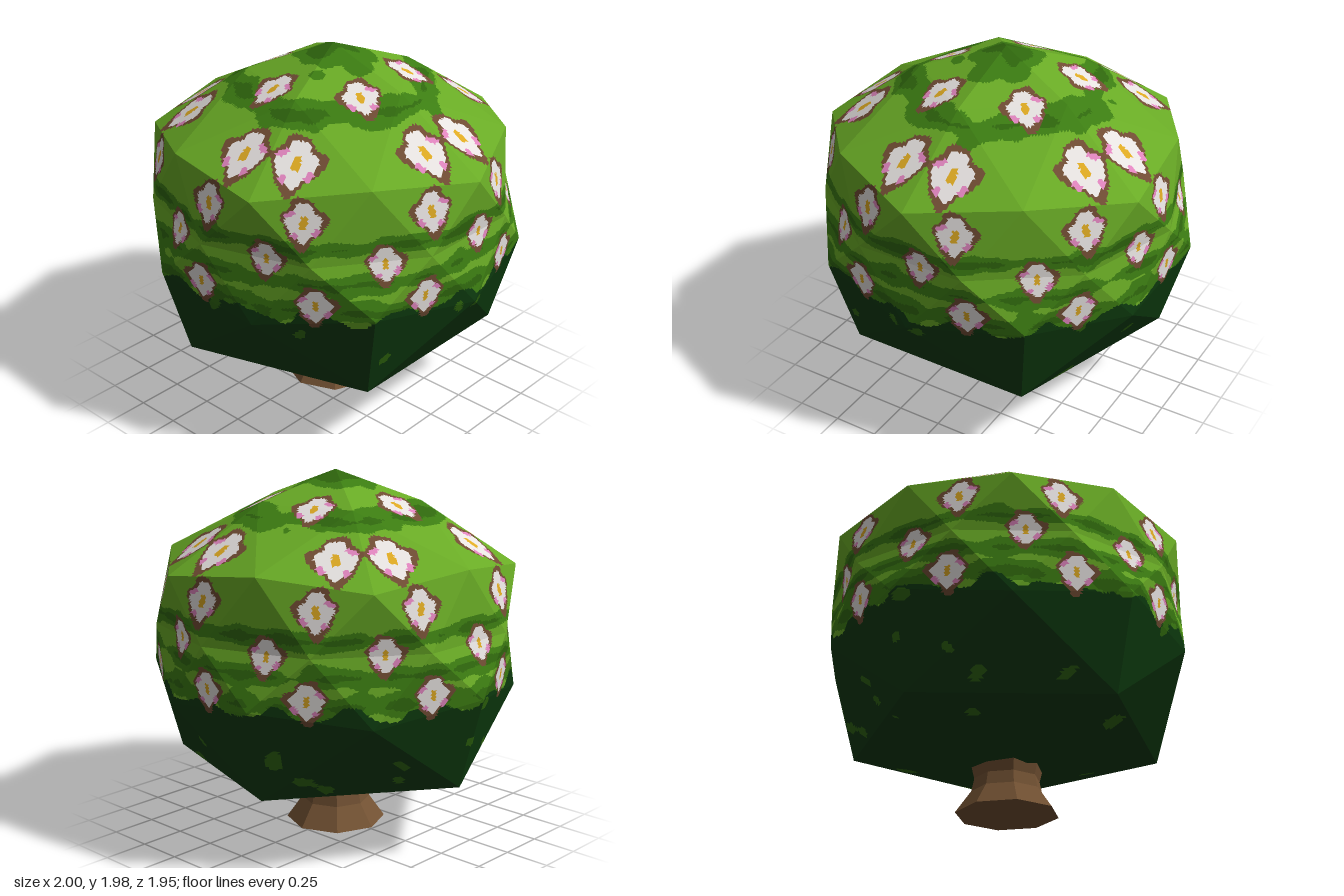
import * as THREE from 'three';

const CX = 0.02; // trunk and crown axis
const DETAIL = 36; // painted cells along each facet edge

const mat = (name, color) => {
  const m = new THREE.MeshStandardMaterial({ color, flatShading: true });
  m.name = name;
  return m;
};

const polar = (deg, r, y) => {
  const a = THREE.MathUtils.degToRad(deg);
  return new THREE.Vector3(CX + r * Math.cos(a), y, r * Math.sin(a));
};
const ring = (n, start, fn) =>
  Array.from({ length: n }, (_, k) => polar(start + (k * 360) / n, ...fn(k)));

// Large facets of the crown, from rings of 5 and 10 corners
function crownFacets() {
  const tip = new THREE.Vector3(CX, 1.98, 0);
  const base = new THREE.Vector3(CX, 0.21, 0);
  const A = ring(5, 0, () => [0.46, 1.82]);
  const B = ring(10, 0, k => (k % 2 ? [0.91, 1.55] : [0.97, 1.49]));
  const C = ring(10, 18, () => [0.975, 1.18]);
  const D = ring(10, 0, k => (k % 2 ? [1.02, 0.9] : [0.98, 0.82]));
  const E = ring(5, 36, () => [0.88, 0.4]);
  const f = [];
  for (let k = 0; k < 5; k++) {
    const n = (k + 1) % 5, e = 2 * k, o = e + 1, e2 = (e + 2) % 10;
    f.push([tip, A[k], A[n]], [A[k], B[e], B[o]], [A[k], B[e], B[(e + 9) % 10]], [A[k], A[n], B[o]]);
    f.push([E[k], D[e], D[o]], [E[k], D[o], D[e2]], [E[k], E[n], D[e2]], [base, E[k], E[n]]);
  }
  for (let k = 0; k < 10; k++) {
    const n = (k + 1) % 10;
    for (const R of [B, D]) f.push([R[k], R[n], C[k]], [C[k], C[n], R[n]]);
  }
  // Turn every facet outwards
  const mid = new THREE.Vector3(CX, 1.05, 0);
  for (const t of f) {
    const nrm = t[1].clone().sub(t[0]).cross(t[2].clone().sub(t[0]));
    if (nrm.dot(t[0].clone().sub(mid)) < 0) t.reverse();
  }
  return f;
}

// Small cells cut from one facet, for painting
function cutFacet([a, b, c], cells) {
  const at = (i, j) => a.clone().addScaledVector(b.clone().sub(a), i / DETAIL)
    .addScaledVector(c.clone().sub(a), j / DETAIL);
  const add = (p, q, r) =>
    cells.push({ p, q, r, mid: p.clone().add(q).add(r).divideScalar(3) });
  for (let i = 0; i < DETAIL; i++) {
    for (let j = 0; j < DETAIL - i; j++) {
      add(at(i, j), at(i + 1, j), at(i, j + 1));
      if (i + j < DETAIL - 1) add(at(i + 1, j), at(i + 1, j + 1), at(i, j + 1));
    }
  }
}

// Flower rows: height, radius from axis, angles, half width, half height
function makeFlowers(cells) {
  const rows = [
    [1.82, 0.39, [28], 72, 0.085, 0.105],
    [1.63, 0.753, [-11, 11], 72, 0.1, 0.13],
    [1.4, 0.94, [-16, 17], 72, 0.082, 0.095],
    [1.18, 0.96, [-4], 36, 0.076, 0.08],
    [0.96, 0.97, [-19, 19], 72, 0.08, 0.085],
  ];
  const flowers = [];
  for (const [y, r, offsets, step, w, h] of rows) {
    for (let a = 0; a < 360; a += step) {
      for (const o of offsets) {
        const target = polar(a + o, r, y);
        let best = cells[0].mid, d = Infinity;
        for (const { mid } of cells) {
          const e = mid.distanceToSquared(target);
          if (e < d) { d = e; best = mid; }
        }
        const t = THREE.MathUtils.degToRad(a + o);
        flowers.push({ c: best, t: new THREE.Vector3(-Math.sin(t), 0, Math.cos(t)), w, h, lean: o > 0 ? 1 : -1 });
      }
    }
  }
  return flowers;
}

const wave = (p, s) =>
  (Math.sin(p.x * s + 2 * Math.sin(p.z * s * 0.7 + 1)) +
   Math.sin(p.z * s * 1.1 + 2 * Math.sin(p.y * s * 0.8)) +
   Math.sin(p.y * s * 1.2 + 2 * Math.sin(p.x * s * 0.9 + 2))) / 3;

// Paint slots
const [LIGHT, MID, DEEP, SHADE, WHITE, PINK, YELLOW, HUSK] = [0, 1, 2, 3, 4, 5, 6, 7];

function paintFlower(p, f) {
  const d = p.clone().sub(f.c);
  if (d.lengthSq() > 0.04) return -1;
  const u0 = d.dot(f.t);
  const v0 = Math.sign(d.y) * Math.sqrt(Math.max(0, d.lengthSq() - u0 * u0));
  const u = u0 / f.w, v = v0 / f.h;
  if (Math.abs(u) < 0.2 && Math.abs(v) < 0.32) return YELLOW;
  const phi = Math.atan2(v, u * f.lean);
  const q = Math.hypot(u, v) / (1 + 0.1 * Math.cos(4 * phi) + 0.06 * Math.sin(7 * phi));
  const pink = Math.abs(phi - 2.6) < 0.28 || Math.abs(phi + 0.6) < 0.28 || Math.abs(phi + 2.2) < 0.2;
  if (pink && q > 0.78 && q < 1.12) return PINK;
  if (q < 0.97) return WHITE;
  if (q < 1.25 + 0.12 * Math.sin(3 * phi + 1)) return HUSK;
  return -1;
}

function paintLeaves(p) {
  const n = wave(p, 13), fine = wave(p, 27);
  const angle = Math.atan2(p.z, p.x - CX);
  const hem = 0.89 + 0.035 * Math.sin(angle * 15) + 0.03 * fine;
  if (p.y < hem) return n + 0.5 * fine > 0.98 ? DEEP : SHADE;
  // Bands of deeper foliage between the flower rows
  let band = -1;
  for (const [y, w] of [[0.93, 0.07], [1.08, 0.055], [1.26, 0.045], [1.77, 0.045], [1.95, 0.07]])
    band = Math.max(band, 1 - Math.abs(p.y - y) / w);
  const k = band + 0.55 * n + 0.4 * fine;
  return k > 0.85 ? DEEP : k > 0.12 ? MID : LIGHT;
}

function buildCrown(materials) {
  const cells = [];
  crownFacets().forEach(t => cutFacet(t, cells));
  const flowers = makeFlowers(cells);
  const slots = materials.map(() => []);
  for (const { p, q, r, mid } of cells) {
    let slot = -1;
    if (mid.y > 0.8)
      for (const f of flowers) {
        const s = paintFlower(mid, f);
        if (s >= 0 && (slot < 0 || s !== HUSK)) slot = s;
      }
    if (slot < 0) slot = paintLeaves(mid);
    for (const v of [p, q, r]) slots[slot].push(v.x, v.y, v.z);
  }
  const geo = new THREE.BufferGeometry();
  geo.setAttribute('position', new THREE.Float32BufferAttribute(slots.flat(), 3));
  let start = 0;
  slots.forEach((s, i) => {
    geo.addGroup(start, s.length / 3, i);
    start += s.length / 3;
  });
  geo.computeVertexNormals();
  const crown = new THREE.Mesh(geo, materials);
  crown.name = 'floweringCrown';
  return crown;
}

export function createModel() {
  const group = new THREE.Group();
  group.name = 'floweringBush';

  group.add(buildCrown([
    mat('lightLeaf', 0x69ab25), mat('midLeaf', 0x3c7d12), mat('deepLeaf', 0x2f670d),
    mat('shadeLeaf', 0x0d3a0e), mat('petalWhite', 0xe6e2e0), mat('petalPink', 0xdf84bd),
    mat('pollenYellow', 0xdca822), mat('huskBrown', 0x704c33),
  ]));

  // Eight-sided trunk with a flared foot
  const profile = [[0, 0], [0.275, 0.01], [0.19, 0.13], [0.175, 0.2], [0.2, 0.3]]
    .map(([r, y]) => new THREE.Vector2(r, y));
  const trunk = new THREE.Mesh(new THREE.LatheGeometry(profile, 8), mat('bark', 0x735233));
  trunk.name = 'trunk';
  trunk.position.x = CX;
  group.add(trunk);
  return group;
}
